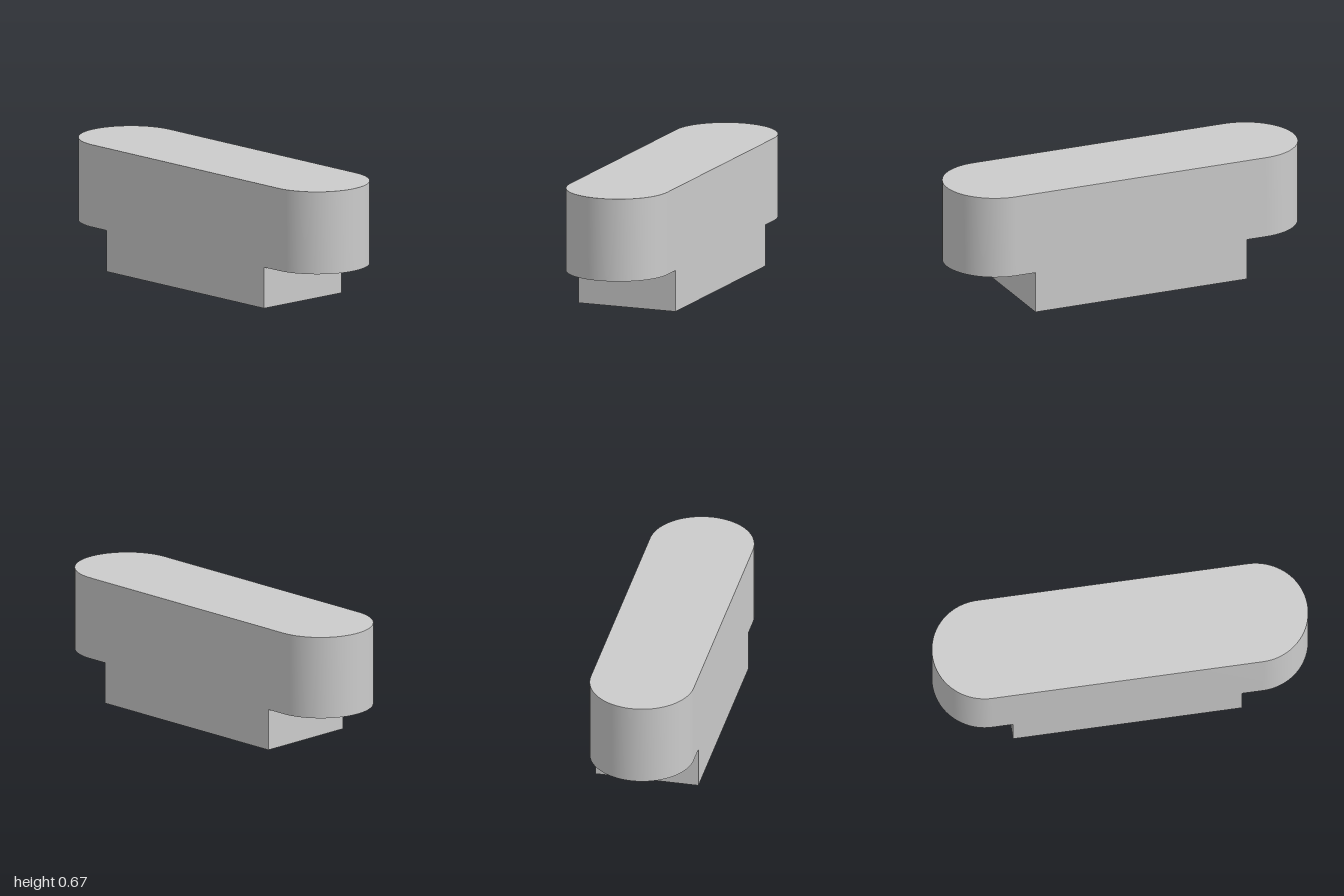
import * as THREE from 'three';
import { toCreasedNormals } from 'three/addons/utils/BufferGeometryUtils.js';

const RADIUS = 0.278;  // half the depth, also the radius of the round ends
const HEIGHT = 0.667;
const STEP = 0.222;    // height of the foot below the slab
const FOOT_HALF = 0.611;

export function createModel() {
  const group = new THREE.Group();
  group.name = 'steppedKey';
  const material = new THREE.MeshStandardMaterial({ color: 0xcccccc });

  // Round-ended slab: a stadium outline extruded upwards
  const centre = 1 - RADIUS;
  const outline = new THREE.Shape();
  outline.absarc(centre, 0, RADIUS, -Math.PI / 2, Math.PI / 2);
  outline.absarc(-centre, 0, RADIUS, Math.PI / 2, Math.PI * 1.5);
  outline.closePath();
  const slabGeometry = new THREE.ExtrudeGeometry(outline, {
    depth: HEIGHT - STEP, bevelEnabled: false, curveSegments: 32,
  });
  slabGeometry.rotateX(-Math.PI / 2);
  const slab = new THREE.Mesh(toCreasedNormals(slabGeometry, Math.PI / 6), material);
  slab.name = 'roundEndedSlab';
  slab.position.y = STEP;
  group.add(slab);

  // Rectangular foot, flush with the slab's front and back
  const foot = new THREE.Mesh(new THREE.BoxGeometry(FOOT_HALF * 2, STEP, RADIUS * 2), material);
  foot.name = 'foot';
  foot.position.y = STEP / 2;
  group.add(foot);

  return group;
}
